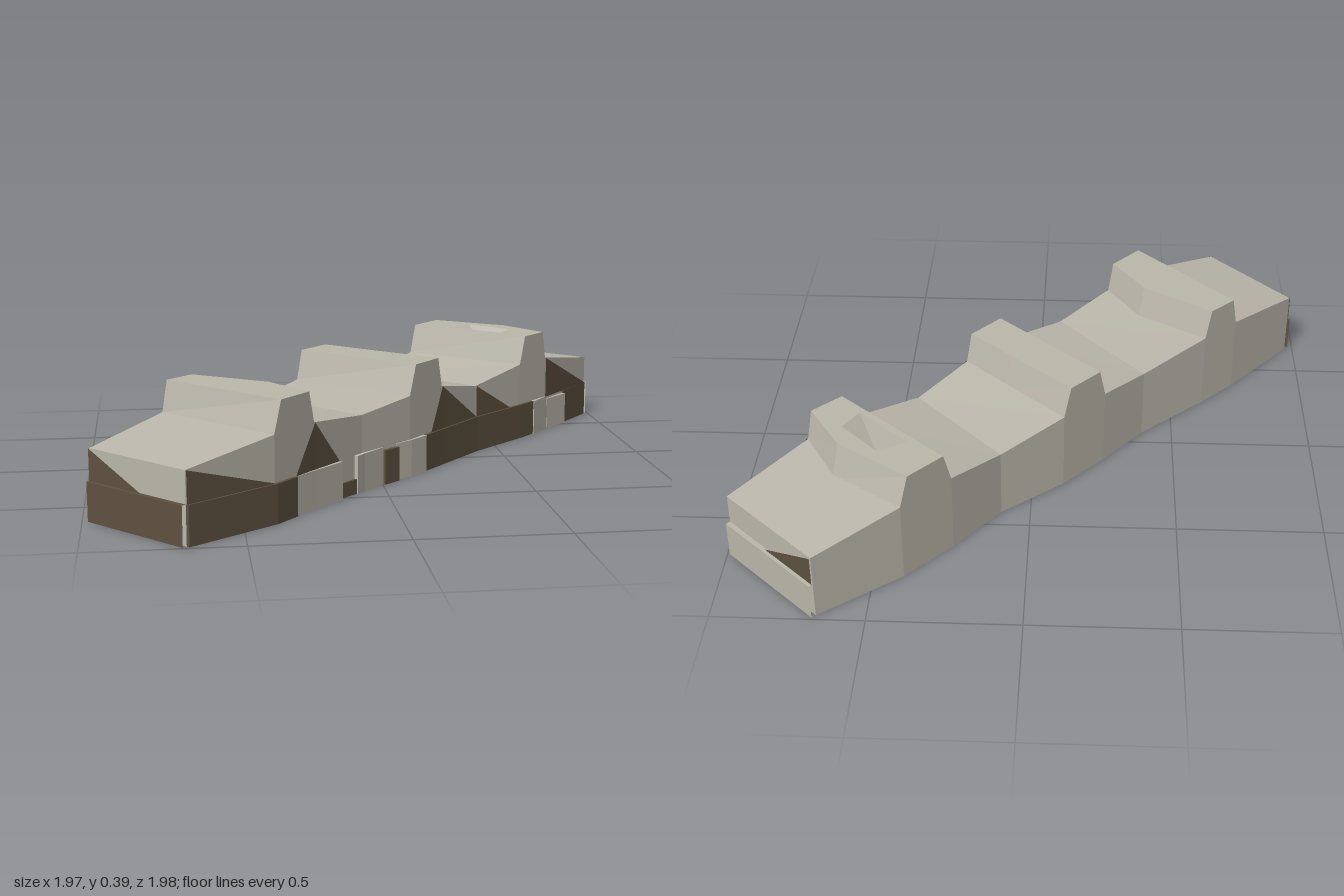
import * as THREE from 'three';

const stone = new THREE.MeshStandardMaterial({ color: 0xbab6aa, flatShading: true, side: THREE.DoubleSide });
stone.name = 'pale stone';
const earth = new THREE.MeshStandardMaterial({ color: 0x5d5140, flatShading: true, side: THREE.DoubleSide });
earth.name = 'brown earth';

// Wall outline: [x, z] stations along the front and back, with the ridge height at each
const F = [[-.68, .98], [-.40, .77], [-.26, .61], [-.08, .41], [.11, .24], [.25, .08], [.41, -.10], [.62, -.29], [.75, -.42], [.98, -.68]];
const B = [[-.97, .66], [-.74, .39], [-.62, .27], [-.39, .06], [-.25, -.11], [-.11, -.26], [.10, -.43], [.25, -.62], [.40, -.78], [.66, -.98]];
const H = [.235, .285, .285, .26, .285, .285, .245, .285, .285, .235];
const TOP = .39, FOOT = .13;

const at = (p, y) => [p[0], y, p[1]];
const lerp = (a, b, t) => a.map((v, i) => v + (b[i] - v) * t);

// Flat mesh made of fan-triangulated polygons
function mesh(name, polygons, material) {
  const pos = [];
  for (const p of polygons)
    for (let i = 1; i < p.length - 1; i++) pos.push(...p[0], ...p[i], ...p[i + 1]);
  const g = new THREE.BufferGeometry();
  g.setAttribute('position', new THREE.Float32BufferAttribute(pos, 3));
  g.computeVertexNormals();
  const m = new THREE.Mesh(g, material);
  m.name = name;
  return m;
}

// Point on the front face at a given x, pushed outwards by off
function front(x, y, off = 0) {
  let i = 0;
  while (i < F.length - 2 && x > F[i + 1][0]) i++;
  const p = lerp(F[i], F[i + 1], (x - F[i][0]) / (F[i + 1][0] - F[i][0]));
  return [p[0] + off * .7, y, p[1] + off * .7];
}

// Foot panel following the bends of the front face
function footPanel(x0, x1, off0, off1, height) {
  const xs = [x0, ...F.map(p => p[0]).filter(x => x > x0 + .01 && x < x1 - .01), x1];
  const off = x => off0 + (off1 - off0) * (x - x0) / (x1 - x0);
  const polys = [];
  for (let i = 0; i < xs.length - 1; i++) {
    const [a, b] = [xs[i], xs[i + 1]];
    polys.push([front(a, 0, off(a)), front(b, 0, off(b)), front(b, height, off(b)), front(a, height, off(a))]);
    polys.push([front(a, height, off(a)), front(b, height, off(b)), front(b, height), front(a, height)]);
  }
  for (const [x, s] of [[x0, 1], [x1, -1]]) {
    const side = [front(x, 0), front(x, 0, off(x)), front(x, height, off(x)), front(x, height)];
    polys.push(s > 0 ? side : side.reverse());
  }
  return polys;
}

// Raised block between stations i and i + 1; bulge bends its far side outwards
function merlon(i, bulge, pit) {
  const j = i + 1, d = bulge * .7;
  const bend = (t, y) => {
    const m = lerp(lerp(B[i], B[j], t), lerp(F[i], F[j], t), .58);
    return [m[0] + d, y, m[1] - d];
  };
  const base = [at(B[i], .285), at(F[i], .285), at(F[j], .285), bend(1, .265), at(B[j], .285)];
  const top = [at(lerp(B[i], B[j], .14), TOP), at(lerp(F[i], F[j], .18), TOP),
    at(lerp(F[i], F[j], .88), TOP), bend(.84, TOP), at(lerp(B[i], B[j], .84), TOP)];
  const sides = base.map((p, k) => {
    const n = (k + 1) % base.length;
    return [p, base[n], top[n], top[k]];
  });
  const group = new THREE.Group();
  group.name = 'merlon';
  group.add(mesh('merlonSides', sides, stone));

  // Cap, with an optional broken pit
  const shape = new THREE.Shape(top.map(p => new THREE.Vector2(p[0], -p[2])));
  if (pit) {
    shape.holes.push(new THREE.Path(pit.map(p => new THREE.Vector2(p[0], -p[1]))));
    const low = [.51, .30, -.50];
    group.add(mesh('brokenPit', pit.map((p, k) => [at(p, TOP), at(pit[(k + 1) % pit.length], TOP), low]), stone));
  }
  const cap = new THREE.Mesh(new THREE.ShapeGeometry(shape).rotateX(-Math.PI / 2).translate(0, TOP, 0), stone);
  cap.name = 'merlonCap';
  group.add(cap);
  return group;
}

export function createModel() {
  const model = new THREE.Group();
  model.name = 'ruinedWall';

  // Hollow wall shell: sides, walkway and ends, open underneath
  const sides = [], walk = [];
  for (let i = 0; i < 9; i++) {
    const j = i + 1;
    sides.push([at(F[i], 0), at(F[j], 0), at(F[j], H[j]), at(F[i], H[i])]);
    sides.push([at(B[j], 0), at(B[i], 0), at(B[i], H[i]), at(B[j], H[j])]);
    if (i % 3 !== 1) walk.push([at(B[i], H[i]), at(F[i], H[i]), at(F[j], H[j]), at(B[j], H[j])]);
  }
  model.add(mesh('wallSides', sides, stone), mesh('walkway', walk, stone));
  model.add(mesh('wallEnds', [
    [at(B[0], 0), at(F[0], 0), at(F[0], H[0]), at(B[0], H[0])],
    [at(F[9], 0), at(B[9], 0), at(B[9], H[9]), at(F[9], H[9])]
  ], stone));

  // Merlons
  model.add(merlon(1, .055), merlon(4, .005),
    merlon(7, .055, [[.39, -.57], [.49, -.62], [.62, -.49], [.57, -.41]]));

  // Bare earth patches on the upper front face
  const e = .005;
  const patches = [
    [[-.68, FOOT], [-.40, FOOT], [-.68, .235]],
    [[-.33, FOOT], [-.26, FOOT], [-.26, .285]],
    [[-.26, FOOT], [-.17, FOOT], [-.26, .285]],
    [[.20, FOOT], [.25, FOOT], [.25, .285]],
    [[.25, FOOT], [.41, FOOT], [.25, .285]],
    [[.41, FOOT], [.57, FOOT], [.41, .245]],
    [[.75, FOOT], [.98, FOOT], [.75, .285]]
  ].map(t => t.map(([x, y]) => front(x, y, e)));

  // Matching patches on both ends
  for (const [p, q, s] of [[B[0], F[0], -1], [B[9], F[9], 1]]) {
    const shift = c => [c[0] + s * e * .7, c[1] - s * e * .7];
    const a = shift(p), b = shift(lerp(p, q, .55));
    patches.push(s < 0 ? [at(a, FOOT), at(b, FOOT), at(a, .235)] : [at(b, FOOT), at(a, FOOT), at(a, .235)]);
  }
  model.add(mesh('earthPatches', patches, earth));

  // Uneven foot panels: x from, x to, outset at each end, height, colour
  const panels = [
    [-.68, -.33, .012, .012, FOOT, earth],
    [-.33, -.17, .006, .018, FOOT, stone],
    [-.17, -.11, .004, .012, .05, earth],
    [-.11, 0, .016, .004, FOOT, stone],
    [0, .055, .014, .014, .12, earth],
    [.055, .17, .004, .014, FOOT, stone],
    [.17, .41, .012, .012, FOOT, earth],
    [.41, .68, .012, .012, FOOT, earth],
    [.68, .76, .016, .004, FOOT, stone],
    [.76, .85, .005, .016, .12, stone],
    [.85, .98, .008, .004, FOOT, earth]
  ];
  for (const [x0, x1, o0, o1, h, mat] of panels)
    model.add(mesh('footPanel', footPanel(x0, x1, o0, o1, h), mat));

  // Foot slabs on the ends
  for (const [p, q, s, mat] of [[B[0], F[0], -1, earth], [F[9], B[9], 1, stone]]) {
    const out = c => [c[0] + s * .012, c[1] - s * .012];
    const a = out(p), b = out(q);
    model.add(mesh('endSlab', [
      [at(a, 0), at(b, 0), at(b, FOOT), at(a, FOOT)],
      [at(a, FOOT), at(b, FOOT), at(q, FOOT), at(p, FOOT)]
    ], mat));
  }
  return model;
}
